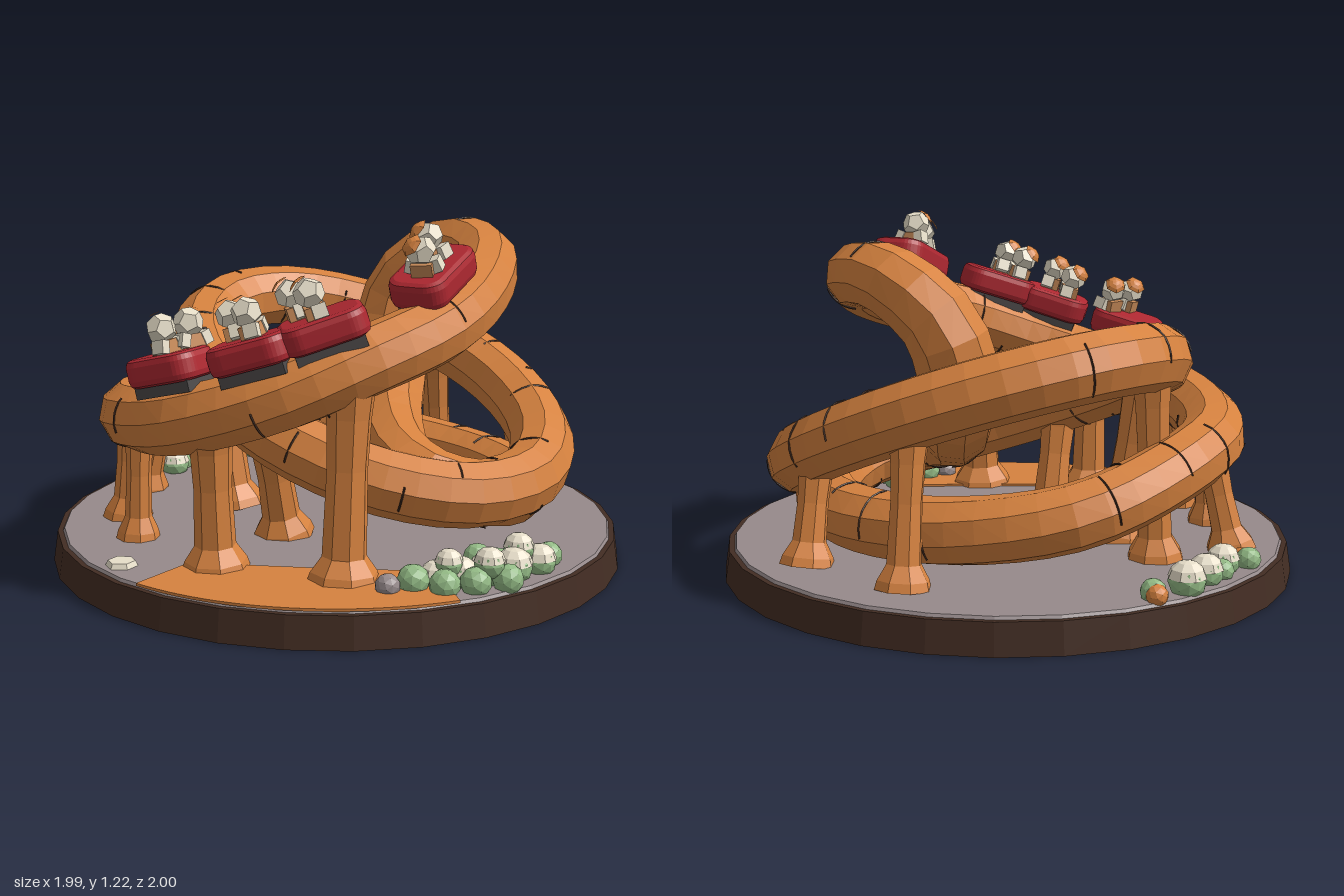
import * as THREE from 'three';

const V = (x, y, z) => new THREE.Vector3(x, y, z);

export function createModel() {
  const root = new THREE.Group();
  const material = (name, color) => {
    const m = new THREE.MeshStandardMaterial({ color, flatShading: true });
    m.name = name;
    return m;
  };
  const orange = material('orange clay', 0xd6823f);
  const brown = material('brown rim', 0x432d23);
  const grey = material('grey ground', 0x968a8b);
  const red = material('red car', 0xae2831);
  const steel = material('dark grey chassis', 0x4c4848);
  const cream = material('cream', 0xe8dfca);
  const green = material('green', 0x93ba85);
  const tan = material('tan', 0xc78a58);

  let seed = 7;
  const rand = () => (seed = (seed * 16807) % 2147483647) / 2147483647;

  const add = (name, geo, mat, parent = root, pos) => {
    const m = new THREE.Mesh(geo, mat);
    m.name = name;
    if (pos) m.position.copy(pos);
    parent.add(m);
    return m;
  };

  // Round base: brown disc with a grey ground plate
  add('baseRim', new THREE.CylinderGeometry(0.982, 0.998, 0.105, 30), brown, root, V(0, 0.0525, 0));
  add('ground', new THREE.CylinderGeometry(0.958, 0.965, 0.012, 30), grey, root, V(0, 0.109, 0));

  // Orange soil along the front right edge
  const soil = new THREE.Shape();
  soil.moveTo(-0.12, -0.95);
  soil.absarc(0, 0, 0.97, -Math.PI / 2 - 0.12, -0.6, false);
  soil.lineTo(0.6, -0.36);
  soil.lineTo(0.35, -0.5);
  soil.lineTo(-0.1, -0.72);
  const soilMesh = add('orangeSoil', new THREE.ExtrudeGeometry(soil, { depth: 0.009, bevelEnabled: false, curveSegments: 12 }), orange);
  soilMesh.rotation.x = -Math.PI / 2;
  soilMesh.position.y = 0.114;

  // Main track: rises round the front, crests at the back, then dives back down
  const main = new THREE.CatmullRomCurve3([
    V(-0.71, 0.46, 0), V(-0.66, 0.49, 0.28), V(-0.45, 0.53, 0.56), V(-0.12, 0.59, 0.71),
    V(0.2, 0.69, 0.66), V(0.42, 0.8, 0.48), V(0.53, 0.88, 0.2), V(0.51, 0.96, -0.08),
    V(0.41, 1.03, -0.31), V(0.2, 1.035, -0.45), V(0.02, 0.91, -0.455), V(-0.03, 0.74, -0.42),
    V(0.03, 0.58, -0.33), V(0.16, 0.46, -0.1), V(0.34, 0.39, 0.11), V(0.5, 0.34, 0.15),
    V(0.62, 0.29, 0), V(0.58, 0.25, -0.28), V(0.32, 0.24, -0.5), V(-0.08, 0.26, -0.58), V(-0.48, 0.33, -0.45),
  ], true);
  // Tilted inner ring, high on the right-hand side and low on the left
  const ringPoints = [];
  for (let i = 0; i < 12; i++) {
    const a = (i / 12) * Math.PI * 2, c = Math.cos(a), s = Math.sin(a);
    ringPoints.push(V(0.04 + 0.635 * c, 0.56 - 0.24 * c - 0.08 * s, -0.16 + 0.535 * s));
  }
  const ring = new THREE.CatmullRomCurve3(ringPoints, true);

  // Main track tube, thickened where it dives
  const segments = 68, sides = 9;
  const tube = new THREE.TubeGeometry(main, segments, 0.112, sides, true);
  const pos = tube.attributes.position, p = new THREE.Vector3();
  for (let i = 0; i < pos.count; i++) {
    const centre = main.getPointAt((Math.floor(i / (sides + 1)) / segments) % 1);
    const k = 1 + 0.26 * Math.exp(-(((centre.x - 0.04) / 0.24) ** 2) - ((centre.z + 0.34) / 0.3) ** 2 - ((centre.y - 0.75) / 0.28) ** 2);
    p.fromBufferAttribute(pos, i).sub(centre).multiplyScalar(k).add(centre);
    pos.setXYZ(i, p.x, p.y, p.z);
  }
  add('mainTrack', tube, orange);
  add('tiltedRingTrack', new THREE.TubeGeometry(ring, 40, 0.114, 9, true), orange);

  // Short dark seams pressed round the track
  const seams = (curve, count, name) => {
    for (let i = 0; i < count; i++) {
      const u = (i + rand() * 0.5) / count;
      const geo = new THREE.TorusGeometry(0.111, 0.0035, 4, 7, 0.8 + rand() * 1.2);
      const m = add(name, geo, brown, root, curve.getPointAt(u));
      m.lookAt(curve.getPointAt(u).add(curve.getTangentAt(u)));
      m.rotateZ(rand() * 6.28);
    }
  };
  seams(main, 36, 'mainTrackSeam');
  seams(ring, 24, 'ringTrackSeam');

  // Support columns: [foot x, foot z, top x, top y, top z, radius]
  [
    [-0.8, 0.1, -0.71, 0.46, 0.1, 0.05], [-0.62, 0.41, -0.59, 0.5, 0.4, 0.05],
    [-0.43, 0.58, -0.42, 0.52, 0.57, 0.042], [-0.02, 0.68, -0.02, 0.6, 0.7, 0.062],
    [0.39, 0.56, 0.39, 0.76, 0.52, 0.066], [0.4, -0.68, 0.4, 0.48, -0.6, 0.052],
    [-0.01, -0.76, 0, 0.6, -0.69, 0.052], [-0.39, 0.08, -0.49, 0.75, 0.09, 0.064],
    [-0.6, -0.1, -0.58, 0.76, -0.11, 0.055], [-0.04, 0.27, -0.04, 0.5, 0.36, 0.06],
  ].forEach(([fx, fz, tx, ty, tz, r]) => {
    const foot = V(fx, 0.11, fz), span = V(tx, ty, tz).sub(foot), h = span.length();
    const profile = [[r * 1.8, 0], [r * 1.65, 0.03], [r * 1.1, 0.08], [r, h * 0.55], [r * 1.1, h * 0.8], [r * 1.3, h]];
    const geo = new THREE.LatheGeometry(profile.map(([x, y]) => new THREE.Vector2(x, y)), 8);
    const m = add('supportColumn', geo, orange, root, foot);
    m.quaternion.setFromUnitVectors(V(0, 1, 0), span.normalize());
  });

  // Passenger: chunky tan torso, cream arms and head, orange cap patch
  const passenger = (car, x, z) => {
    const g = new THREE.Group();
    g.name = 'passenger';
    g.position.set(x, 0.05, z);
    g.rotation.set(0, rand() - 0.5, -x * 1.5);
    g.scale.setScalar(1.08);
    car.add(g);
    add('torso', new THREE.BoxGeometry(0.064, 0.07, 0.058), tan, g, V(0, 0.03, 0));
    for (const s of [-1, 1]) {
      const arm = add('arm', new THREE.BoxGeometry(0.03, 0.04, 0.042), cream, g, V(s * 0.038, 0.05, 0.012));
      arm.rotation.z = s * 0.3;
    }
    add('head', new THREE.DodecahedronGeometry(0.046), cream, g, V(0, 0.1, 0));
    const cap = add('cap', new THREE.SphereGeometry(0.049, 6, 3, 0, Math.PI * 2, 0, 0.85), orange, g, V(0.004, 0.101, -0.004));
    cap.rotation.set(-0.5, 0, -0.5);
  };

  // Red cars with rounded corners on dark chassis, facing along the track
  const car = (at, ahead, length, seats) => {
    const g = new THREE.Group();
    g.name = 'car';
    g.position.copy(at);
    g.lookAt(at.clone().add(ahead));
    root.add(g);
    add('chassis', new THREE.BoxGeometry(0.14, 0.05, length * 0.8), steel, g, V(0, -0.025, 0));
    const outline = new THREE.Shape(), cx = 0.035, cz = length / 2 - 0.065;
    [[cx, cz], [-cx, cz], [-cx, -cz], [cx, -cz]].forEach(([x, z], i) =>
      outline.absarc(x, z, 0.045, (i * Math.PI) / 2, ((i + 1) * Math.PI) / 2, false));
    const body = new THREE.ExtrudeGeometry(outline, {
      depth: 0.045, curveSegments: 4, bevelThickness: 0.024, bevelSize: 0.02, bevelSegments: 2,
    });
    add('carBody', body, red, g, V(0, 0.055, 0)).rotation.x = Math.PI / 2;
    seats.forEach(([x, z]) => passenger(g, x, z));
  };
  car(V(-0.15, 0.73, 0.72), V(1, 0.25, -0.06), 0.26, [[-0.035, 0.03], [0.04, 0.07]]);
  car(V(0.15, 0.805, 0.685), V(0.93, 0.3, -0.3), 0.27, [[0.04, -0.05], [-0.03, 0.03]]);
  car(V(0.335, 0.88, 0.57), V(0.76, 0.32, -0.62), 0.28, [[0.04, -0.06], [-0.035, -0.01]]);
  car(V(0.485, 1.005, 0.17), V(-0.03, 0.36, -1), 0.32, [[-0.01, -0.07], [0.012, 0.03]]);

  // Heaps of pebbles, the cream ones green underneath: [x, z, size, material, lift]
  [
    [0.86, 0.06, 0.045, green], [0.87, 0.15, 0.055, cream], [0.83, 0.25, 0.06, cream], [0.76, 0.23, 0.05, green],
    [0.86, 0.35, 0.05, green], [0.78, 0.33, 0.062, cream], [0.72, 0.4, 0.055, cream], [0.79, 0.43, 0.05, green],
    [0.66, 0.45, 0.05, cream], [0.72, 0.5, 0.05, green], [0.62, 0.52, 0.052, green], [0.57, 0.59, 0.04, grey],
    [0.66, 0.35, 0.05, green], [0.82, 0.2, 0.05, cream, 0.05], [0.81, 0.38, 0.05, cream, 0.05],
    [0.73, 0.31, 0.045, green, 0.04], [0.7, 0.44, 0.045, cream, 0.05],
    [-0.75, -0.51, 0.042, green], [-0.77, -0.53, 0.036, orange], [-0.82, -0.4, 0.062, cream], [-0.84, -0.28, 0.057, cream],
    [-0.85, -0.14, 0.055, cream], [-0.87, -0.21, 0.04, green], [-0.91, -0.06, 0.042, green],
    [-0.88, -0.04, 0.036, orange],
  ].forEach(([x, z, r, mat, lift = 0]) => {
    const at = V(x, 0.11 + r * 0.65 + lift, z);
    const m = add('pebble', new THREE.IcosahedronGeometry(r, 1), mat === cream ? green : mat, root, at);
    m.rotation.y = rand() * 6;
    if (mat === cream)
      add('pebbleTop', new THREE.SphereGeometry(r * 1.06, 8, 3, 0, Math.PI * 2, 0, 1.4), cream, root, at);
  });
  // Flat cream stone at the front
  add('flatStone', new THREE.CylinderGeometry(0.045, 0.055, 0.02, 6), cream, root, V(-0.28, 0.122, 0.84));

  return root;
}
